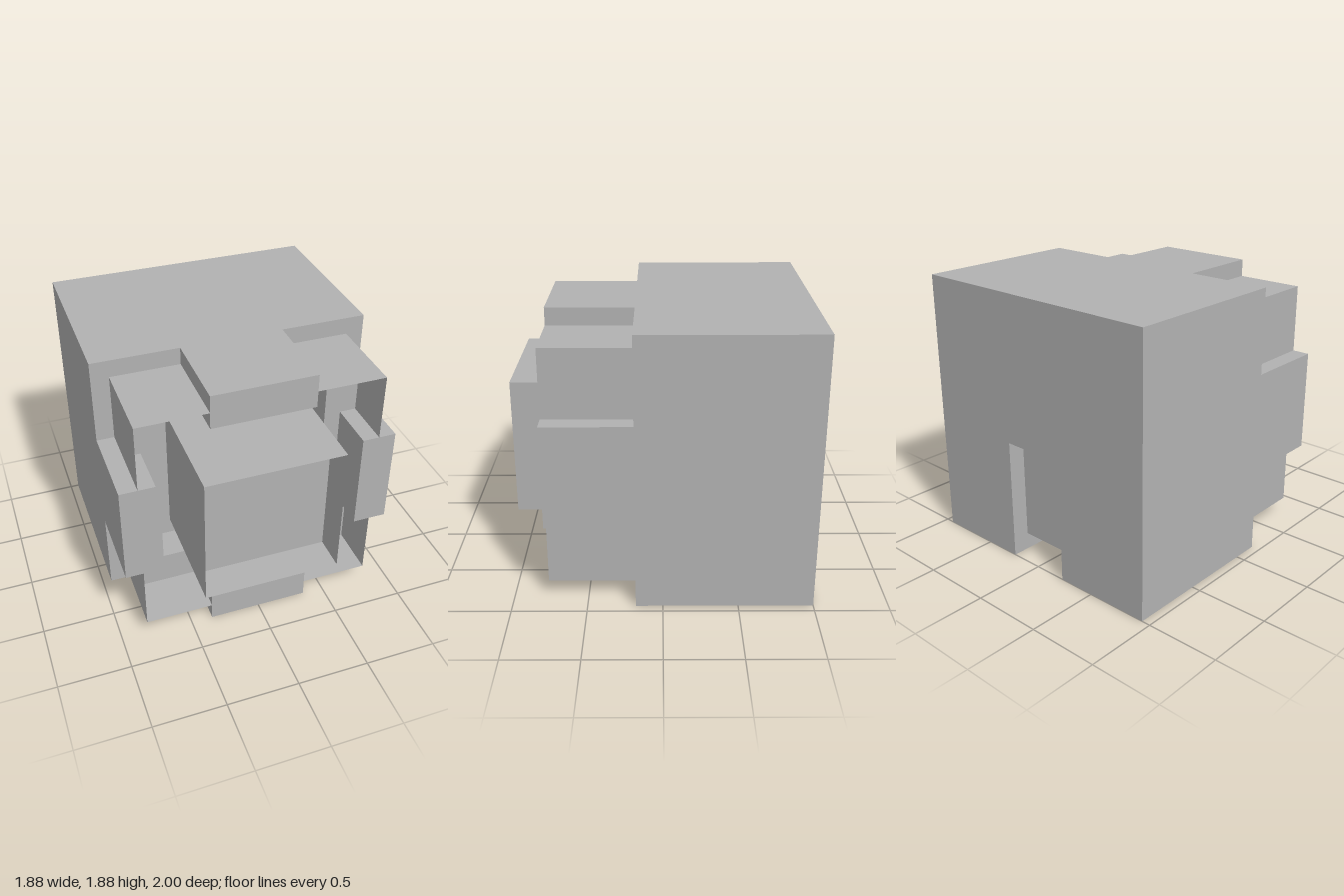
import * as THREE from 'three';

const MID = 0.94; // height of the front axis, also half the width

export function createModel() {
  const group = new THREE.Group();
  const grey = new THREE.MeshStandardMaterial({ color: 0xb2b2b2, flatShading: true, side: THREE.DoubleSide });
  grey.name = 'plain grey';

  const add = (name, geometry) => {
    const mesh = new THREE.Mesh(geometry, grey);
    mesh.name = name;
    group.add(mesh);
    return mesh;
  };
  // Box given by its limits on each axis
  const box = (name, x0, x1, y0, y1, z0, z1) =>
    add(name, new THREE.BoxGeometry(x1 - x0, y1 - y0, z1 - z0))
      .position.set((x0 + x1) / 2, (y0 + y1) / 2, (z0 + z1) / 2);
  // Square tube of thin walls, open at both ends, along z
  const sleeve = (name, half, z0, z1) => {
    const g = new THREE.CylinderGeometry(half * Math.SQRT2, half * Math.SQRT2, z1 - z0, 4, 1, true, Math.PI / 4);
    g.rotateX(Math.PI / 2);
    add(name, g).position.set(0, MID, (z0 + z1) / 2);
  };
  const square = (PathType, h) =>
    new PathType([[-h, -h], [h, -h], [h, h], [-h, h]].map(([x, y]) => new THREE.Vector2(x, y)));

  // Main body: two side blocks and a middle with a channel up the back and along the underside
  for (const s of [-1, 1]) {
    box(s > 0 ? 'bodyLeft' : 'bodyRight', s > 0 ? 0.235 : -MID, s > 0 ? MID : -0.235, 0, 1.88, -1, 0.18);
  }
  const profile = new THREE.Shape(
    [[1, 1.88], [1, 0.85], [0.88, 0.85], [0.88, 0.12], [-0.18, 0.12], [-0.18, 1.88]]
      .map(([x, y]) => new THREE.Vector2(x, y)));
  const middle = new THREE.ExtrudeGeometry(profile, { depth: 0.47, bevelEnabled: false });
  middle.translate(0, 0, -0.235);
  middle.rotateY(Math.PI / 2);
  add('bodyMiddle', middle);

  // Front collar: stepped floor with a square pit, and a thin surrounding wall
  const floor = square(THREE.Shape, 0.82);
  floor.holes.push(square(THREE.Path, 0.59));
  add('collarFloor', new THREE.ExtrudeGeometry(floor, { depth: 0.23, bevelEnabled: false }))
    .position.set(0, MID, 0.18);
  sleeve('collarWall', 0.82, 0.41, 0.765);

  // Four tabs reaching forward from the middle of each edge
  box('topTab', -0.35, 0.35, 1.645, 1.88, 0.18, 0.765);
  box('bottomTab', -0.35, 0.35, 0, 0.235, 0.18, 0.765);
  box('leftTab', 0.705, MID, 0.59, 1.295, 0.18, 0.765);
  box('rightTab', -MID, -0.705, 0.59, 1.295, 0.18, 0.765);

  // Core with a hollow front end
  box('core', -0.47, 0.47, MID - 0.47, MID + 0.47, 0.18, 0.765);
  sleeve('coreRim', 0.47, 0.765, 1);

  return group;
}
